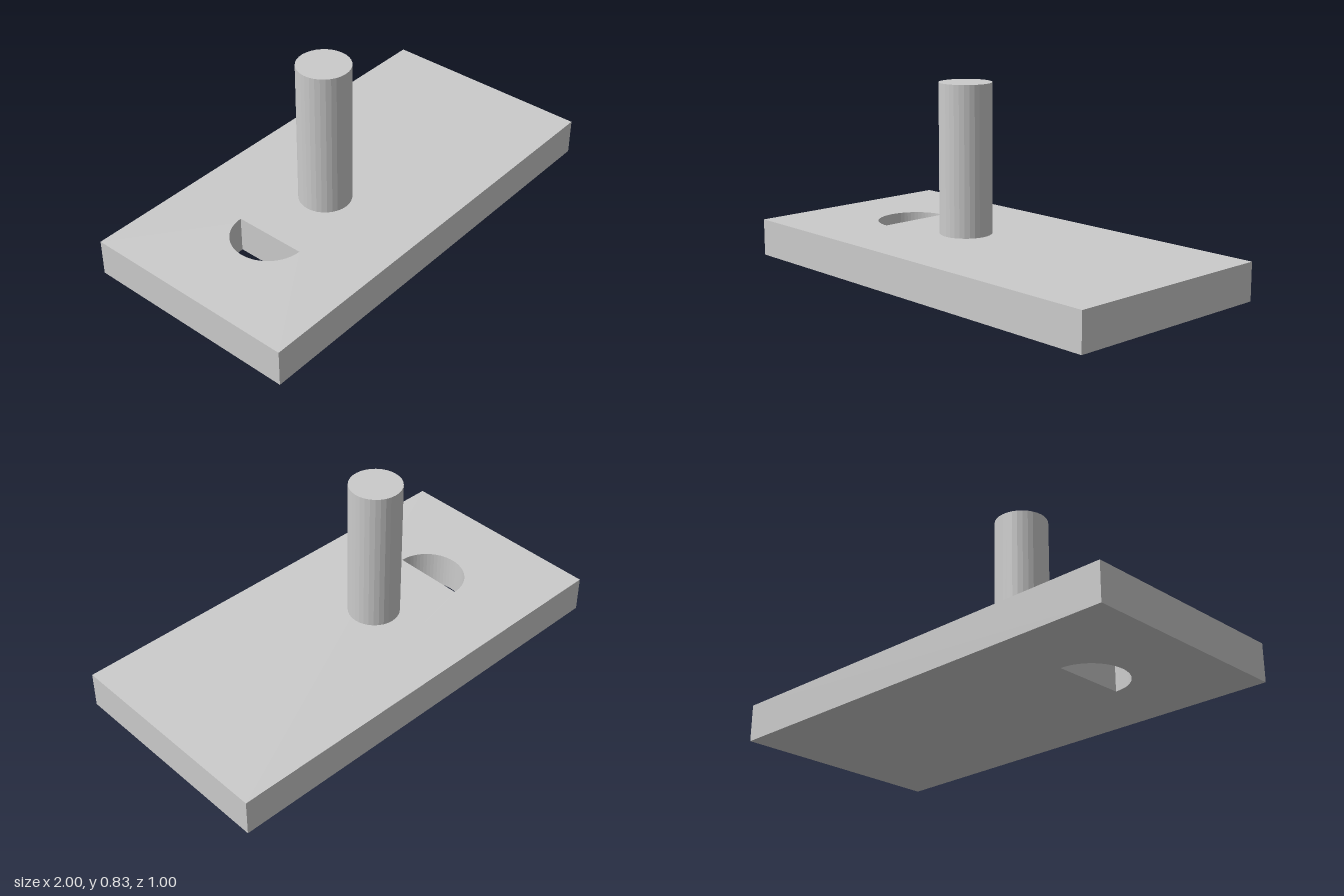
import * as THREE from 'three';

const PLATE_HEIGHT = 1 / 6;
const POST_HEIGHT = 2 / 3;
const POST_RADIUS = 0.1167;

export function createModel() {
  const group = new THREE.Group();
  const material = new THREE.MeshStandardMaterial({ color: 0xcccccc, flatShading: true });

  const addPart = (name, geometry) => {
    const mesh = new THREE.Mesh(geometry, material);
    mesh.name = name;
    group.add(mesh);
    return mesh;
  };

  // Rectangular base plate with a half-round through hole
  const outline = new THREE.Shape();
  outline.moveTo(-1, -0.5).lineTo(1, -0.5).lineTo(1, 0.5).lineTo(-1, 0.5).closePath();
  const hole = new THREE.Path();
  hole.absarc(-0.517, 0, 1 / 6, Math.PI / 2, Math.PI * 1.5, false);
  hole.closePath();
  outline.holes.push(hole);
  const plate = new THREE.ExtrudeGeometry(outline, {
    depth: PLATE_HEIGHT, bevelEnabled: false, curveSegments: 16,
  });
  plate.rotateX(-Math.PI / 2);
  addPart('basePlate', plate);

  // Upright round post standing on the plate
  const post = addPart('post', new THREE.CylinderGeometry(POST_RADIUS, POST_RADIUS, POST_HEIGHT, 32));
  post.position.set(-1 / 6, PLATE_HEIGHT + POST_HEIGHT / 2, 0);

  return group;
}
